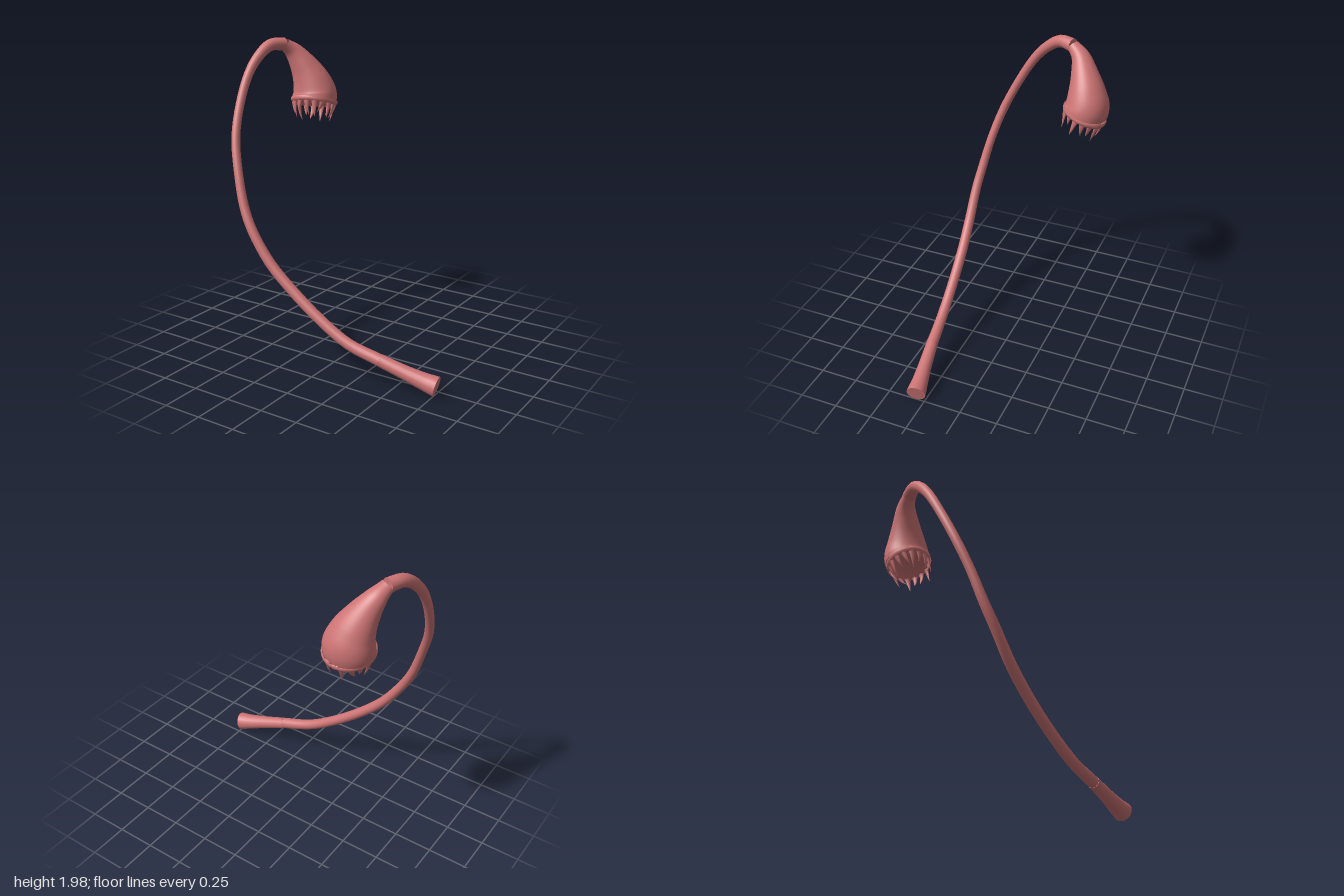
import * as THREE from 'three';

const V = (x, y, z) => new THREE.Vector3(x, y, z);
const material = new THREE.MeshStandardMaterial({ color: 0xcd7474, side: THREE.DoubleSide });

// Smooth sweep through rows of [x, y, z, radius]; ref sets the direction of the
// first cross-section axis and squash scales the second one.
function sweep(name, rows, { sides = 20, steps = 4, ref = V(1, 0, 1), squash = 1, caps = false } = {}) {
  const curve = new THREE.CatmullRomCurve3(rows.map(r => V(r[0], r[1], r[2])));
  const radius = new THREE.SplineCurve(rows.map((r, i) => new THREE.Vector2(i, r[3])));
  const n = (rows.length - 1) * steps;
  const pos = [], idx = [];
  const ring = (t) => {
    const c = curve.getPoint(t), T = curve.getTangent(t), r = radius.getPoint(t).y;
    const u = ref.clone().addScaledVector(T, -ref.dot(T)).normalize();
    const v = T.clone().cross(u);
    for (let j = 0; j < sides; j++) {
      const a = (j / sides) * Math.PI * 2;
      const p = c.clone().addScaledVector(u, r * Math.cos(a)).addScaledVector(v, r * squash * Math.sin(a));
      pos.push(p.x, p.y, p.z);
    }
    return c;
  };
  for (let i = 0; i <= n; i++) ring(i / n);
  for (let i = 0; i < n; i++) {
    for (let j = 0; j < sides; j++) {
      const k = (j + 1) % sides, a = i * sides, b = a + sides;
      idx.push(a + j, a + k, b + k, a + j, b + k, b + j);
    }
  }
  // flat end discs with their own vertices, so the edge stays sharp
  if (caps) {
    for (const t of [0, 1]) {
      const start = pos.length / 3, c = ring(t);
      pos.push(c.x, c.y, c.z);
      for (let j = 0; j < sides; j++) {
        const k = (j + 1) % sides;
        idx.push(start + sides, start + (t ? j : k), start + (t ? k : j));
      }
    }
  }
  const g = new THREE.BufferGeometry();
  g.setAttribute('position', new THREE.Float32BufferAttribute(pos, 3));
  g.setIndex(idx);
  g.computeVertexNormals();
  const mesh = new THREE.Mesh(g, material);
  mesh.name = name;
  return mesh;
}

export function createModel() {
  const model = new THREE.Group();
  model.name = 'mossSporophyte';

  // flared foot
  model.add(sweep('foot', [
    [0.41, 0.17, 0.36, 0.039], [0.58, 0.118, 0.332, 0.045],
    [0.69, 0.086, 0.312, 0.054], [0.762, 0.069, 0.3, 0.062],
  ], { caps: true }));

  // long curved stalk
  model.add(sweep('stalk', [
    [0.41, 0.17, 0.36, 0.038], [0.2, 0.235, 0.387, 0.035], [0, 0.355, 0.402, 0.034],
    [-0.2, 0.51, 0.415, 0.034], [-0.36, 0.665, 0.428, 0.033], [-0.495, 0.86, 0.43, 0.031],
    [-0.567, 1.0, 0.412, 0.03], [-0.637, 1.2, 0.372, 0.028], [-0.7, 1.4, 0.31, 0.028],
    [-0.733, 1.6, 0.217, 0.028], [-0.742, 1.78, 0.11, 0.03], [-0.73, 1.885, 0.015, 0.034],
    [-0.708, 1.945, -0.08, 0.039], [-0.67, 1.945, -0.175, 0.043],
  ], { caps: true }));

  // drooping capsule
  model.add(sweep('capsule', [
    [-0.67, 1.945, -0.175, 0.043], [-0.64, 1.89, -0.238, 0.064], [-0.592, 1.79, -0.287, 0.098],
    [-0.556, 1.69, -0.318, 0.132], [-0.54, 1.615, -0.328, 0.152], [-0.535, 1.568, -0.318, 0.154],
  ], { sides: 36, steps: 5, ref: V(1, 0.1, 0), squash: 0.92 }));

  // mouth: a group whose local y runs out of the capsule opening
  const mouth = new THREE.Group();
  mouth.name = 'mouth';
  mouth.position.set(-0.535, 1.568, -0.318);
  mouth.quaternion.setFromUnitVectors(V(0, 1, 0), V(0.1, -0.94, 0.31).normalize());
  mouth.scale.set(1, 1, 0.92);
  model.add(mouth);

  const rimProfile = [[0.15, -0.008], [0.157, 0], [0.156, 0.014], [0.148, 0.026],
    [0.128, 0.026], [0.118, 0.01], [0.07, -0.01], [0, -0.015]];
  const rim = new THREE.Mesh(
    new THREE.LatheGeometry(rimProfile.map(p => new THREE.Vector2(...p)), 36), material);
  rim.name = 'mouthRim';
  mouth.add(rim);

  // ring of tapering, slightly curling teeth
  const teeth = new THREE.Group();
  teeth.name = 'teeth';
  mouth.add(teeth);
  const count = 16;
  for (let i = 0; i < count; i++) {
    const a = (i / count) * Math.PI * 2;
    const length = 0.1 + 0.02 * Math.sin(i * 2.3);
    const curl = 0.018 * Math.sin(i * 1.7 + 1), lean = 0.022 + 0.012 * Math.cos(i * 2.9);
    const out = V(Math.cos(a), 0, Math.sin(a)), side = V(-Math.sin(a), 0, Math.cos(a));
    const rows = [[0, 0.025], [0.3, 0.016], [0.65, 0.01], [1, 0.002]].map(([s, r]) => {
      const p = out.clone().multiplyScalar(0.138 - lean * s * s).addScaledVector(side, curl * s * s);
      return [p.x, 0.012 + length * s, p.z, r];
    });
    teeth.add(sweep('tooth', rows, { sides: 8, steps: 3, ref: side, squash: 0.55 }));
  }
  return model;
}
